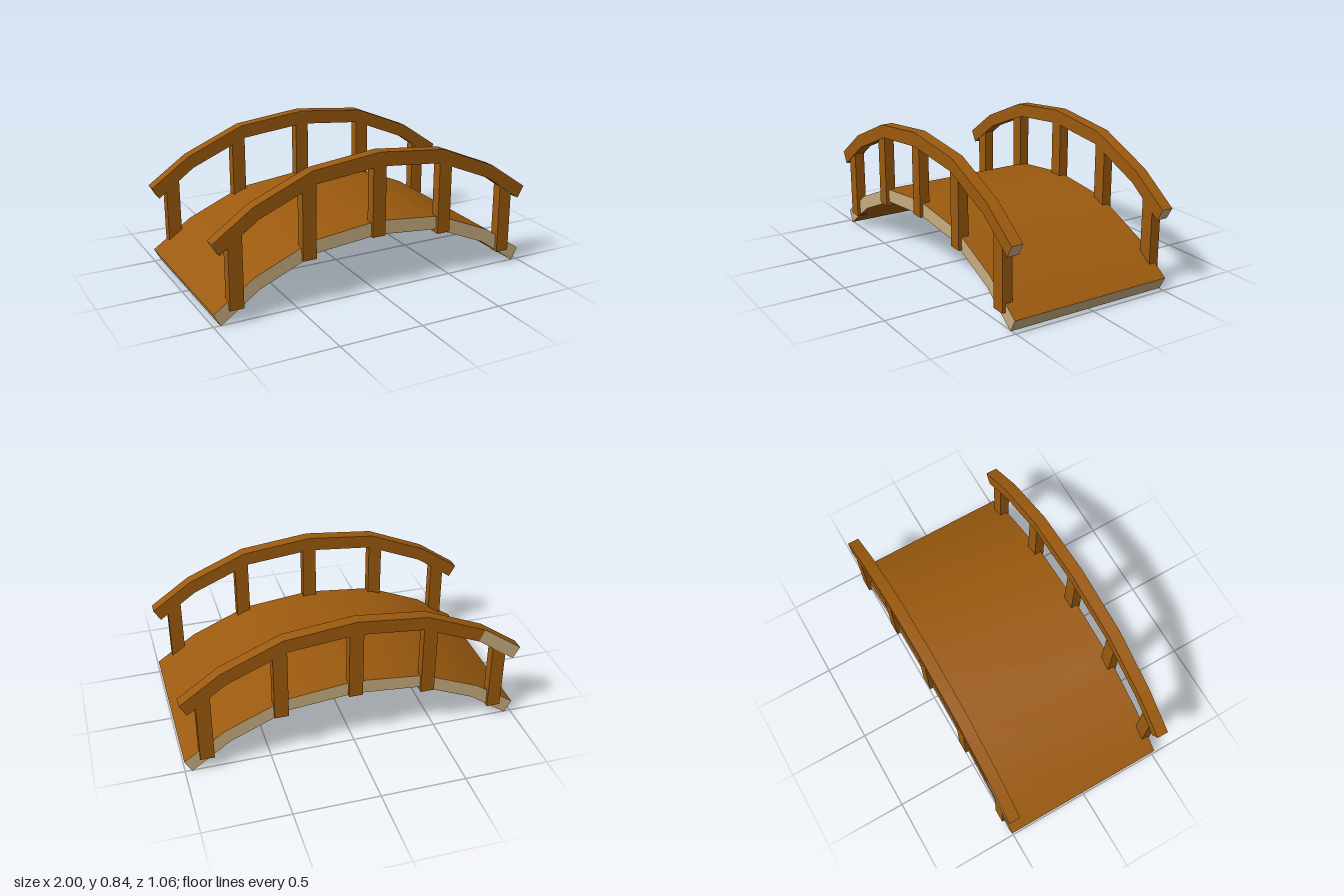
import * as THREE from 'three';

const wood = new THREE.MeshStandardMaterial({ color: 0x9c5a0e });
wood.name = 'brown wood';
const cutWood = new THREE.MeshStandardMaterial({ color: 0xc8ad7f });
cutWood.name = 'pale cut wood';

// Mirror half an arch profile (outer end to crown) into a full one, -x to +x
const mirror = half => [...half, ...half.slice(0, -1).reverse().map(([x, y]) => [-x, y])];

const deckTop = mirror([[-1, 0.075], [-0.76, 0.24], [-0.415, 0.387], [0, 0.432]]);
const deckBottom = mirror([[-0.96, 0], [-0.73, 0.165], [-0.39, 0.31], [0, 0.347]]);
const railTop = mirror([[-1, 0.486], [-0.765, 0.65], [-0.415, 0.798], [0, 0.843]]);
const railBottom = mirror([[-0.96, 0.416], [-0.735, 0.577], [-0.395, 0.72], [0, 0.76]]);

// Strip of quads between two rows of points, smooth along its length
function strip(name, a, b, material) {
  const n = a.length, index = [];
  for (let i = 0; i < n - 1; i++) index.push(i, i + 1, n + i + 1, i, n + i + 1, n + i);
  const geometry = new THREE.BufferGeometry();
  geometry.setAttribute('position', new THREE.Float32BufferAttribute([...a, ...b].flat(), 3));
  geometry.setIndex(index);
  geometry.computeVertexNormals();
  const mesh = new THREE.Mesh(geometry, material);
  mesh.name = name;
  return mesh;
}

// Arched beam between z0 (back) and z1 (front), with pale end caps
function archedBeam(name, top, bottom, z0, z1, sideMaterial, paleBackEnd = false) {
  const at = (points, z) => points.map(([x, y]) => [x, y, z]);
  const tf = at(top, z1), tb = at(top, z0), bf = at(bottom, z1), bb = at(bottom, z0);
  const last = top.length - 1, start = paleBackEnd ? 1 : 0;
  const group = new THREE.Group();
  group.name = name;
  group.add(
    strip(name + 'Top', tf, tb, wood),
    strip(name + 'Underside', bb, bf, wood),
    strip(name + 'FrontSide', bf, tf, sideMaterial),
    strip(name + 'BackSide', tb.slice(start), bb.slice(start), sideMaterial),
    strip(name + 'EndCapLeft', [bf[last], bb[last]], [tf[last], tb[last]], cutWood),
    strip(name + 'EndCapRight', [bb[0], bf[0]], [tb[0], tf[0]], cutWood)
  );
  if (paleBackEnd) group.add(strip(name + 'PaleEnd', tb.slice(0, 2), bb.slice(0, 2), cutWood));
  return group;
}

export function createModel() {
  const bridge = new THREE.Group();
  bridge.name = 'archedFootbridge';

  // Walkway
  bridge.add(archedBeam('deck', deckTop, deckBottom, -0.507, 0.507, cutWood));

  // Handrails, the back one with a bare outer face at one end
  bridge.add(archedBeam('frontRail', railTop, railBottom, 0.46, 0.53, wood));
  bridge.add(archedBeam('backRail', railTop, railBottom, -0.53, -0.46, wood, true));

  // Posts: [x, bottom, top], tops buried in the rails, pale undersides
  const posts = [[-0.87, 0.085, 0.535], [-0.435, 0.285, 0.745], [0, 0.342, 0.8],
    [0.435, 0.285, 0.745], [0.87, 0.085, 0.535]];
  for (const z of [-0.495, 0.495]) {
    for (const [x, y0, y1] of posts) {
      const post = new THREE.Mesh(new THREE.BoxGeometry(0.082, y1 - y0, 0.062),
        [wood, wood, wood, cutWood, wood, wood]);
      post.position.set(x, (y0 + y1) / 2, z);
      post.name = z > 0 ? 'frontPost' : 'backPost';
      bridge.add(post);
    }
  }
  return bridge;
}
